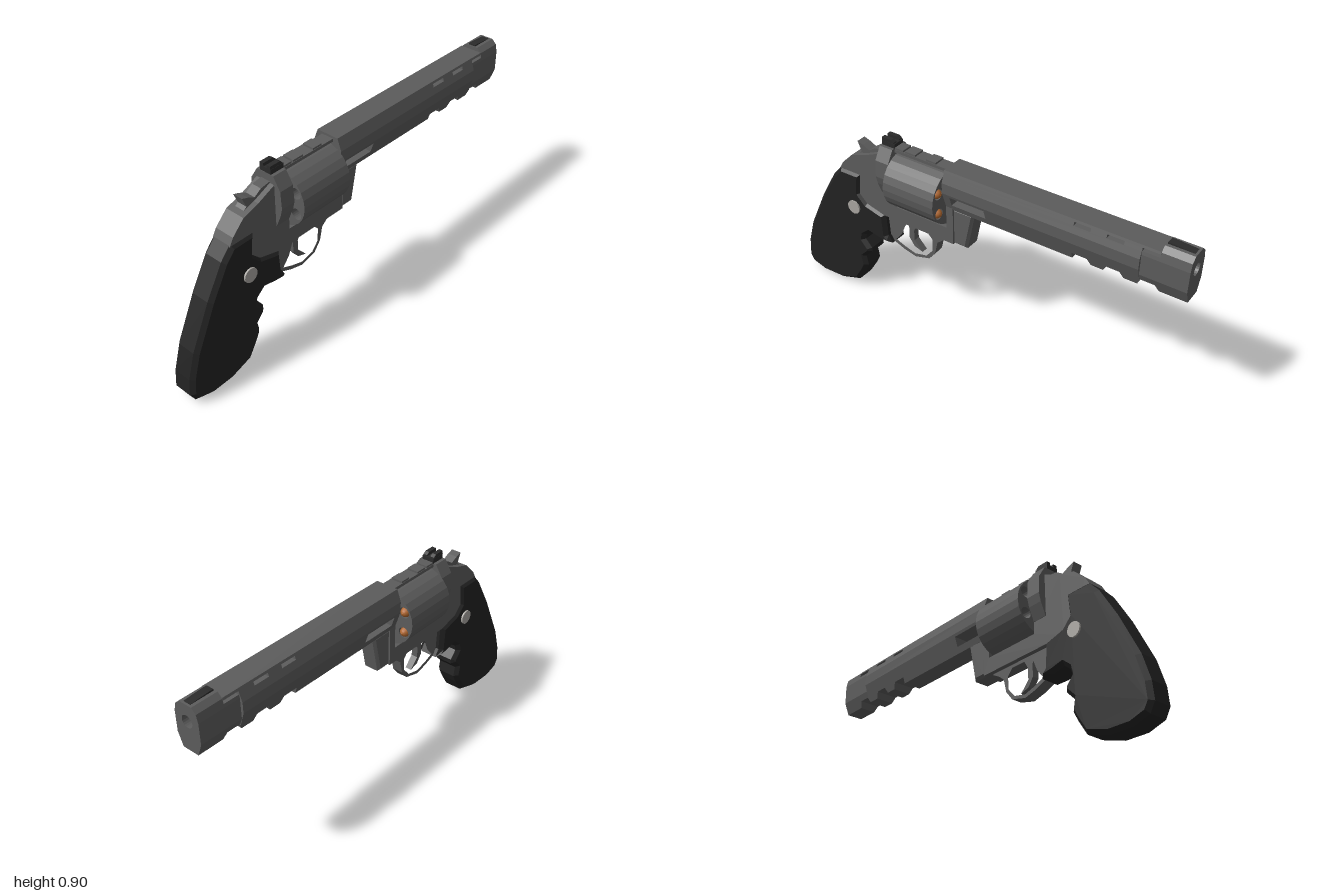
import * as THREE from 'three';

const mat = (name, color) => Object.assign(new THREE.MeshStandardMaterial({ color }), { name });

export function createModel() {
  const steel = mat('gunmetal', 0x5c5c5c);
  const dark = mat('sight black', 0x2b2b2b);
  const rubber = mat('grip black', 0x222222);
  const silver = mat('medallion silver', 0xa8a5a0);
  const copper = mat('bullet copper', 0xb0672f);

  const model = new THREE.Group();
  model.name = 'revolver';
  const add = (name, geo, material, parent = model) => {
    const mesh = new THREE.Mesh(geo, material);
    mesh.name = name;
    parent.add(mesh);
    return mesh;
  };
  const group = (name) => {
    const g = new THREE.Group();
    g.name = name;
    model.add(g);
    return g;
  };
  const vecs = (pts) => pts.map(([x, y]) => new THREE.Vector2(x, y));

  // Side profile extruded symmetrically across z
  const plate = (pts, half, bevel = 0, hole = null) => {
    const shape = new THREE.Shape(vecs(pts));
    if (hole) shape.holes.push(new THREE.Path(vecs(hole)));
    const geo = new THREE.ExtrudeGeometry(shape, {
      depth: 2 * (half - bevel), bevelEnabled: bevel > 0, bevelSize: bevel,
      bevelThickness: bevel, bevelOffset: -bevel, bevelSegments: 1,
    });
    return geo.translate(0, 0, bevel - half);
  };
  const box = (x0, x1, y0, y1, z0, z1) => new THREE.BoxGeometry(x1 - x0, y1 - y0, z1 - z0)
    .translate((x0 + x1) / 2, (y0 + y1) / 2, (z0 + z1) / 2);
  const alongX = (shape, x0, x1) => new THREE.ExtrudeGeometry(shape,
    { depth: x1 - x0, bevelEnabled: false, curveSegments: 10 }).rotateY(Math.PI / 2).translate(x0, 0, 0);

  // Slice of a symmetric cross-section between two heights, run along x
  const widthAt = (prof, y) => {
    for (let i = 1; i < prof.length; i++) {
      const [ya, wa] = prof[i - 1], [yb, wb] = prof[i];
      if (y <= yb) return wa + (wb - wa) * (y - ya) / (yb - ya);
    }
    return prof[prof.length - 1][1];
  };
  const slice = (prof, x0, x1, y0, y1, bore = false) => {
    const ys = [y0, ...prof.map((p) => p[0]).filter((y) => y > y0 && y < y1), y1];
    const side = ys.map((y) => [widthAt(prof, y), y]);
    const shape = new THREE.Shape(vecs([...side, ...side.map(([w, y]) => [-w, y]).reverse()]));
    if (bore) shape.holes.push(new THREE.Path().absarc(0, 0.815, 0.028, 0, Math.PI * 2, true));
    return alongX(shape, x0, x1);
  };

  // Barrel with vent slots, side window and toothed underside
  const barrel = group('barrel');
  const bp = [[0.68, 0.045], [0.77, 0.075], [0.82, 0.075], [0.875, 0.055]];
  const mp = [[0.68, 0.04], [0.74, 0.063], [0.835, 0.063], [0.872, 0.055], [0.893, 0.033]];
  add('barrelCore', slice(bp, -0.125, 0.8, 0.757, 0.85, true), steel, barrel);
  add('barrelTop', slice(bp, -0.125, 0.875, 0.865, 0.875), steel, barrel);
  [[-0.125, 0.505], [0.58, 0.65], [0.725, 0.8]].forEach(([a, b]) =>
    add('ventBridge', slice(bp, a, b, 0.85, 0.865), steel, barrel));
  [[-0.125, -0.09], [0.085, 0.8]].forEach(([a, b]) =>
    add('underlug', slice(bp, a, b, 0.71, 0.757), steel, barrel));
  add('lowerRail', slice(bp, -0.125, 0.5, 0.68, 0.71), steel, barrel);
  [[0.57, 0.655, bp], [0.715, 0.805, bp], [0.865, 0.96, mp]].forEach(([a, b, prof]) => {
    const geo = slice(prof, a, b, 0.68, 0.71);
    const p = geo.attributes.position;
    for (let i = 0; i < p.count; i++) {
      if (p.getY(i) < 0.685) p.setX(i, p.getX(i) + (p.getX(i) < (a + b) / 2 ? 0.015 : -0.015));
    }
    geo.computeVertexNormals();
    add('railTooth', geo, steel, barrel);
  });

  // Muzzle and front sight
  add('muzzleRear', slice(mp, 0.8, 0.875, 0.71, 0.85, true), steel, barrel);
  add('muzzleFront', slice(mp, 0.875, 1, 0.71, 0.893, true), steel, barrel);
  add('muzzleLip', slice(mp, 0.93, 1, 0.68, 0.71), steel, barrel);
  add('frontSight', plate([[0.88, 0.89], [0.99, 0.89], [0.99, 0.894], [0.9, 0.9], [0.88, 0.9]], 0.018), dark);

  // Frame: rear body and floor under the cylinder, strap above it
  const frame = group('frame');
  add('frameBody', plate([[-0.73, 0.67], [-0.71, 0.705], [-0.65, 0.765], [-0.57, 0.79], [-0.48, 0.83],
    [-0.41, 0.83], [-0.41, 0.575], [-0.125, 0.575], [-0.125, 0.7], [-0.09, 0.7], [-0.09, 0.5],
    [-0.48, 0.5], [-0.58, 0.5], [-0.66, 0.57], [-0.68, 0.64]], 0.048), steel, frame);
  add('crane', plate([[-0.095, 0.5], [-0.02, 0.5], [0.017, 0.69], [-0.095, 0.69]], 0.046, 0.012), steel, frame);
  add('topStrap', box(-0.48, -0.12, 0.85, 0.864, -0.03, 0.03), steel, frame);
  [[-0.41, -0.365], [-0.355, -0.3], [-0.24, -0.19]].forEach(([a, b]) =>
    add('strapRib', box(a, b, 0.86, 0.873, -0.028, 0.028), steel, frame));
  add('recoilShield', slice([[0.63, 0.05], [0.69, 0.075], [0.73, 0.085], [0.81, 0.08], [0.868, 0.045]],
    -0.482, -0.412, 0.63, 0.868), steel, frame);

  // Rear sight with centre notch
  const rearSight = group('rearSight');
  add('sightBase', box(-0.48, -0.41, 0.865, 0.89, -0.03, 0.03), dark, rearSight);
  [-1, 1].forEach((s) => add('sightPost', plate([[-0.48, 0.885], [-0.415, 0.885], [-0.415, 0.895],
    [-0.43, 0.905], [-0.48, 0.905]], 0.01).translate(0, 0, s * 0.019), dark, rearSight));

  // Cylinder with six chambers and seated rounds
  const cylinder = group('cylinder');
  cylinder.position.y = 0.715;
  const disc = new THREE.Shape(vecs(Array.from({ length: 24 }, (_, i) => {
    const a = i * Math.PI / 12;
    return [0.133 * Math.cos(a), 0.133 * Math.sin(a)];
  })));
  const bullet = new THREE.LatheGeometry(vecs([[0.023, 0], [0.023, 0.1], [0.02, 0.112],
    [0.012, 0.121], [0.007, 0.122], [0, 0.126]]), 12).rotateZ(-Math.PI / 2);
  for (let i = 0; i < 6; i++) {
    const a = Math.PI / 2 + i * Math.PI / 3, z = 0.1 * Math.cos(a), y = 0.1 * Math.sin(a);
    disc.holes.push(new THREE.Path().absarc(z, y, 0.026, 0, Math.PI * 2, true));
    add('bullet', bullet, copper, cylinder).position.set(-0.247, y, z);
  }
  add('cylinderBody', alongX(disc, -0.405, -0.135), steel, cylinder);
  add('cylinderAxle', new THREE.CylinderGeometry(0.03, 0.03, 0.3, 12).rotateZ(Math.PI / 2)
    .translate(-0.27, 0, 0), steel, cylinder);

  // Hammer
  add('hammer', plate([[-0.63, 0.832], [-0.6, 0.822], [-0.565, 0.805], [-0.53, 0.828], [-0.48, 0.836],
    [-0.48, 0.75], [-0.6, 0.73], [-0.65, 0.752], [-0.61, 0.785]], 0.024), steel);

  // Trigger guard and trigger
  add('triggerGuard', plate([[-0.5, 0.51], [-0.13, 0.51], [-0.13, 0.495], [-0.165, 0.475], [-0.195, 0.45],
    [-0.21, 0.385], [-0.245, 0.34], [-0.325, 0.318], [-0.39, 0.334], [-0.455, 0.36], [-0.5, 0.38]], 0.026, 0,
  [[-0.38, 0.465], [-0.365, 0.485], [-0.25, 0.485], [-0.222, 0.455], [-0.225, 0.392], [-0.26, 0.35],
    [-0.325, 0.335], [-0.385, 0.352], [-0.435, 0.372], [-0.4, 0.415]]), steel);
  add('trigger', plate([[-0.37, 0.5], [-0.31, 0.5], [-0.335, 0.455], [-0.335, 0.4], [-0.29, 0.352],
    [-0.335, 0.366], [-0.363, 0.405], [-0.363, 0.46]], 0.016), steel);

  // Finger-grooved grip with medallions
  add('grip', plate([[-0.725, 0.677], [-0.605, 0.677], [-0.615, 0.57], [-0.577, 0.532], [-0.475, 0.505],
    [-0.467, 0.39], [-0.445, 0.355], [-0.51, 0.353], [-0.572, 0.366], [-0.605, 0.338], [-0.612, 0.31],
    [-0.577, 0.27], [-0.577, 0.248], [-0.618, 0.205], [-0.608, 0.155], [-0.63, 0.11], [-0.673, 0.04],
    [-0.785, 0.003], [-0.895, 0], [-0.975, 0.024], [-1, 0.067], [-0.993, 0.15], [-0.957, 0.27],
    [-0.86, 0.473], [-0.775, 0.62]], 0.06, 0.018), rubber);
  add('medallions', new THREE.CylinderGeometry(0.034, 0.034, 0.136, 16).rotateX(Math.PI / 2)
    .translate(-0.65, 0.49, 0), silver);

  return model;
}
